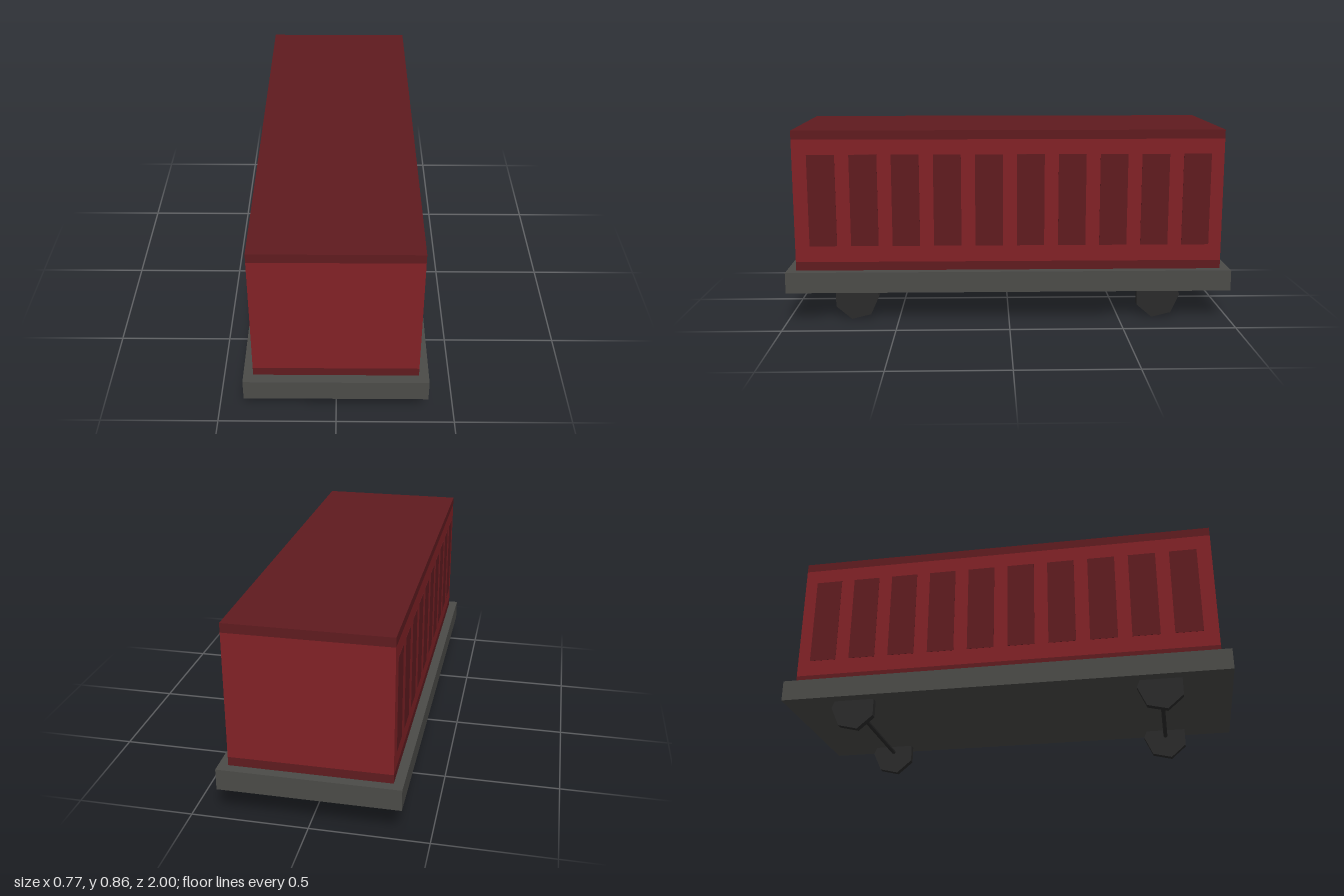
import * as THREE from 'three';

const material = (color) => new THREE.MeshStandardMaterial({ color, flatShading: true });

export function createModel() {
  const model = new THREE.Group();
  model.name = 'freightWagon';

  const red = material(0x822126);
  const darkRed = material(0x5f1b1f);
  const deckGrey = material(0x4b4b48);
  const black = material(0x2a2a2a);

  const add = (name, geometry, mat, x, y, z) => {
    const mesh = new THREE.Mesh(geometry, mat);
    mesh.name = name;
    mesh.position.set(x, y, z);
    model.add(mesh);
  };

  // Box standing on a given height
  const slab = (name, w, y0, y1, d, mat) =>
    add(name, new THREE.BoxGeometry(w, y1 - y0, d), mat, 0, (y0 + y1) / 2, 0);

  // Flat deck and the container stacked on it
  slab('deck', 0.766, 0.138, 0.232, 2, deckGrey);
  slab('lowerBand', 0.684, 0.232, 0.271, 1.914, darkRed);
  slab('containerBody', 0.684, 0.271, 0.823, 1.914, red);
  slab('roofBand', 0.684, 0.823, 0.863, 1.914, darkRed);

  // Row of dark panels along both long sides
  const panel = new THREE.BoxGeometry(0.004, 0.412, 0.123);
  for (const side of [-1, 1]) {
    for (let i = 0; i < 10; i++) {
      add('sidePanel', panel, darkRed, side * 0.3415, 0.55, 0.831 - i * 0.1855);
    }
  }

  // Seven-sided wheels, a corner pointing to the back, joined by thin axles
  const heptagon = (ry, rz, length) =>
    new THREE.CylinderGeometry(1, 1, length, 7, 1, false, Math.PI)
      .rotateZ(Math.PI / 2)
      .scale(1, ry, rz);
  const wheel = heptagon(0.11, 0.103, 0.03);
  const axle = heptagon(0.01, 0.01, 0.6);
  for (const z of [0.692, -0.677]) {
    add('axle', axle, black, 0, 0.11, z);
    for (const side of [-1, 1]) add('wheel', wheel, black, side * 0.315, 0.1075, z);
  }

  return model;
}
